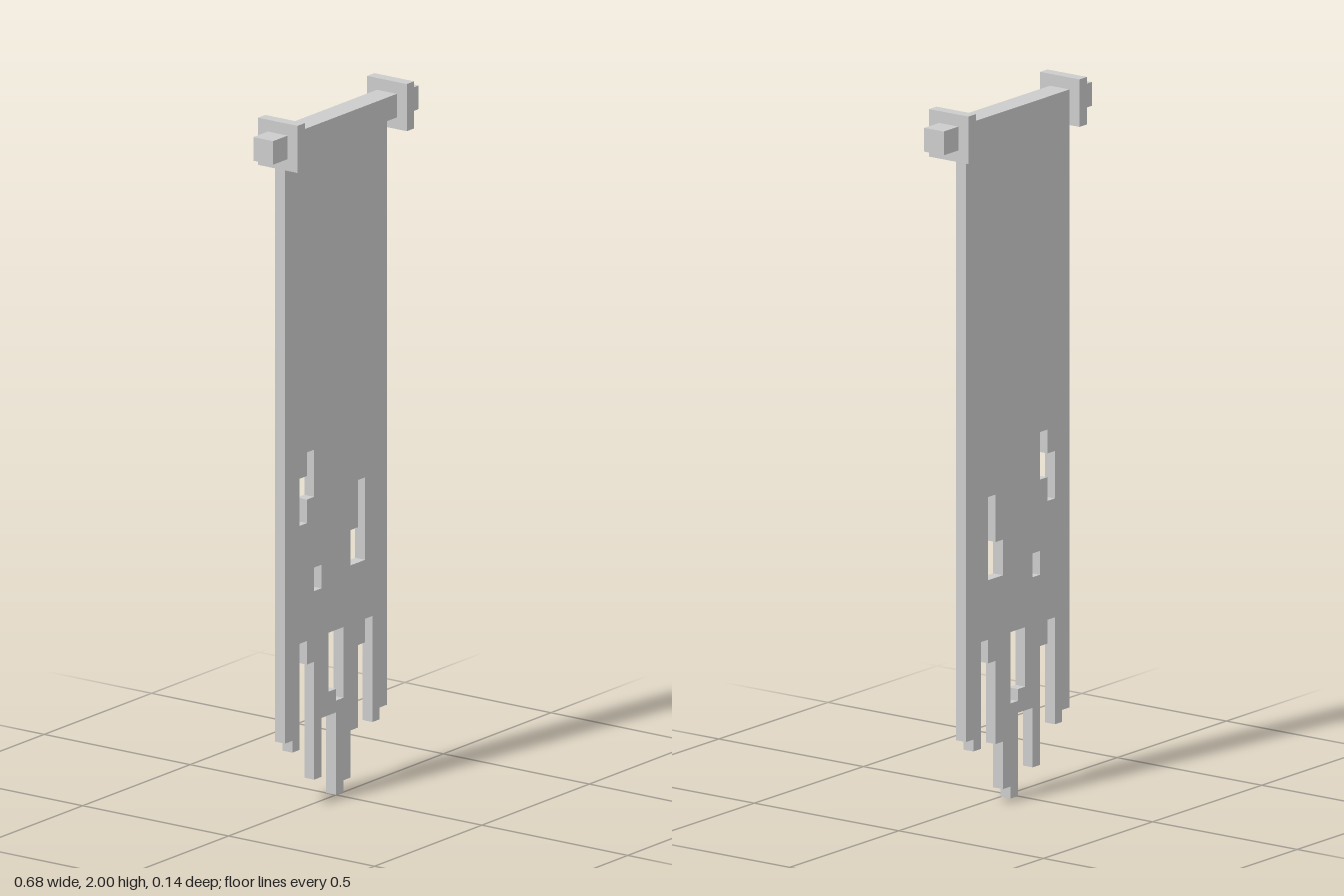
import * as THREE from 'three';

// Everything sits on a block grid, 59 blocks tall
const U = 2 / 59;
const material = new THREE.MeshStandardMaterial({ color: 0xcccccc, flatShading: true });

function box(name, w, h, d, x, y, z) {
  const mesh = new THREE.Mesh(new THREE.BoxGeometry(w * U, h * U, d * U), material);
  mesh.position.set(x * U, y * U, z * U);
  mesh.name = name;
  return mesh;
}

// Stepped outline of neighbouring one-block columns, from their bottoms and tops
function columnPoints(x0, bottoms, tops) {
  const lower = [], upper = [];
  bottoms.forEach((b, i) => {
    for (const x of [x0 + i, x0 + i + 1]) {
      lower.push(new THREE.Vector2(x * U, b * U));
      upper.unshift(new THREE.Vector2(x * U, tops[i] * U));
    }
  });
  // drop repeated points where neighbouring columns are level
  return [...lower, ...upper].filter((p, i, all) => i === 0 || !p.equals(all[i - 1]));
}

function createCloth() {
  // Ragged hem: bottom of each column, left to right
  const hem = [6, 5, 14, 12, 2, 7, 7, 0, 1, 5, 12, 14, 5, 6];
  const shape = new THREE.Shape(columnPoints(-7, hem, hem.map(() => 56)));

  // Torn holes: first column, bottoms, tops
  const tears = [
    [-5, [24, 26], [28, 30]],
    [2, [19, 19], [22, 26]],
    [-3, [18], [20]],
    [-1, [9, 8], [14, 14]],
  ];
  for (const tear of tears) shape.holes.push(new THREE.Path(columnPoints(...tear)));

  const geometry = new THREE.ExtrudeGeometry(shape, { depth: U, bevelEnabled: false });
  geometry.translate(0, 0, -U);
  const mesh = new THREE.Mesh(geometry, material);
  mesh.name = 'tornCloth';
  return mesh;
}

export function createModel() {
  const model = new THREE.Group();
  model.name = 'hangingBanner';
  model.add(createCloth());

  // Rod, with its back flush with the cloth
  model.add(box('rod', 20, 2, 2, 0, 57, 0));

  // Square collars at both ends of the rod
  for (const [name, side] of [['leftCollar', 1], ['rightCollar', -1]]) {
    model.add(box(name, 1, 4, 4, side * 7.5, 57, 0));
  }
  return model;
}
